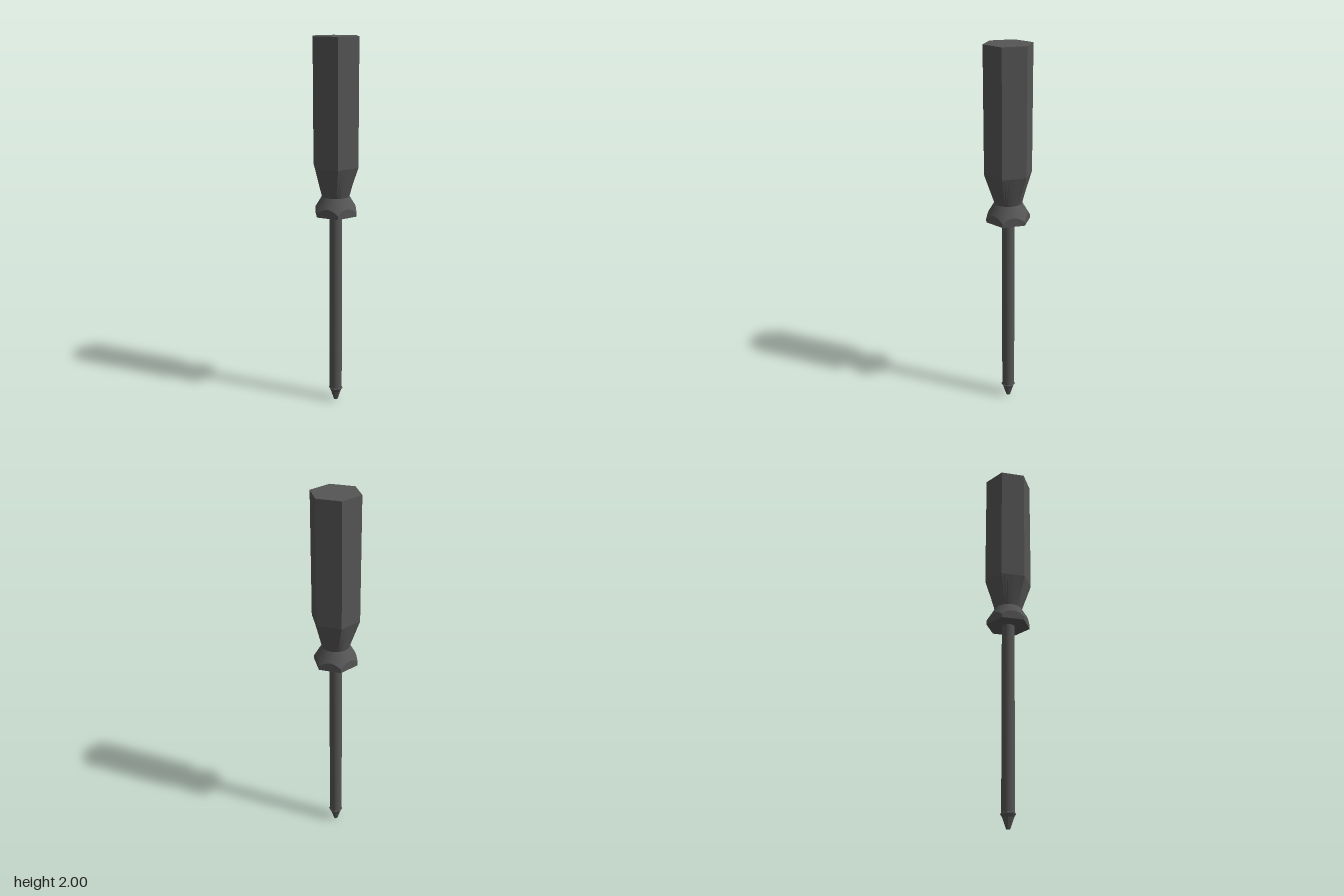
import * as THREE from 'three';
import { toCreasedNormals } from 'three/addons/utils/BufferGeometryUtils.js';

const material = new THREE.MeshStandardMaterial({ color: 0x555555 });
const SEGMENTS = 48;

// Radius of a hexagon with a corner on +z, at angle a
function hexRadius(corner, a) {
  const third = Math.PI / 3;
  const local = (a % third) - third / 2;
  return corner * Math.cos(third / 2) / Math.cos(local);
}

// Closed skin through rings; each ring maps an angle to [radius, height], bottom to top
function loft(rings) {
  const positions = [], index = [];
  rings.forEach((ring) => {
    for (let i = 0; i < SEGMENTS; i++) {
      const a = (i / SEGMENTS) * Math.PI * 2;
      const [r, y] = ring(a);
      positions.push(r * Math.sin(a), y, r * Math.cos(a));
    }
  });
  const bottom = positions.length / 3, top = bottom + 1;
  positions.push(0, rings[0](0)[1], 0, 0, rings[rings.length - 1](0)[1], 0);
  const last = (rings.length - 1) * SEGMENTS;
  for (let i = 0; i < SEGMENTS; i++) {
    const j = (i + 1) % SEGMENTS;
    for (let k = 0; k < last; k += SEGMENTS) {
      index.push(k + i, k + j, k + SEGMENTS + j, k + i, k + SEGMENTS + j, k + SEGMENTS + i);
    }
    index.push(bottom, j, i, top, last + i, last + j);
  }
  const geometry = new THREE.BufferGeometry();
  geometry.setAttribute('position', new THREE.Float32BufferAttribute(positions, 3));
  geometry.setIndex(index);
  return toCreasedNormals(geometry, 0.2);
}

export function createModel() {
  const group = new THREE.Group();
  const add = (name, geometry) => {
    const mesh = new THREE.Mesh(geometry, material);
    mesh.name = name;
    group.add(mesh);
    return mesh;
  };

  // Handle: hexagonal collar, conical chamfer, round waist, hexagonal grip
  const waist = 0.073;
  add('handle', loft([
    (a) => [hexRadius(0.12, a), 1.08],
    (a) => [hexRadius(0.12, a), 1.18 - (hexRadius(0.12, a) - waist) * 1.7],
    () => [waist, 1.18],
    (a) => [hexRadius(0.129, a), 1.34],
    (a) => [hexRadius(0.129, a), 2],
  ]));

  // Round shaft
  const shaft = add('shaft', new THREE.CylinderGeometry(0.034, 0.034, 1.02, 32));
  shaft.position.y = 0.58;

  // Faceted tip with a slight shoulder
  const tipProfile = [[0, 0], [0.011, 0], [0.029, 0.055], [0.039, 0.072], [0.034, 0.08], [0, 0.08]]
    .map(([r, y]) => new THREE.Vector2(r, y));
  add('tip', toCreasedNormals(new THREE.LatheGeometry(tipProfile, 8), 0.2));

  return group;
}
